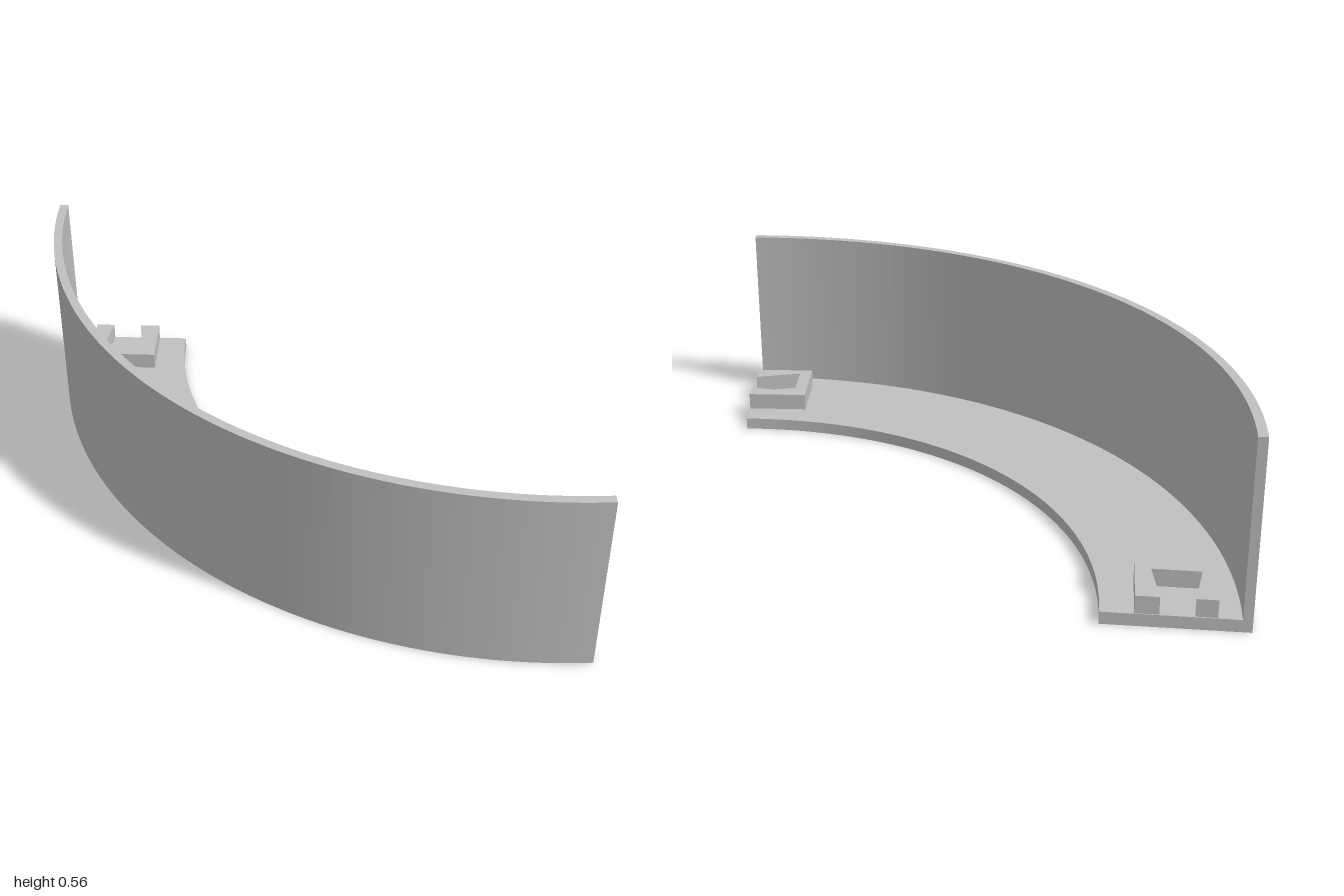
import * as THREE from 'three';

const CENTRE = [0.5, -0.91]; // arc centre in x, z
const START = THREE.MathUtils.degToRad(71.2);
const END = THREE.MathUtils.degToRad(166.1);
const R_OUTER = 1.54, R_WALL = 1.513, R_INNER = 1.137;
const FLOOR = 0.037, CLIP_TOP = 0.09, HEIGHT = 0.563;

// Plan outline in x, z raised from y0 to y1
function slab(name, shape, y0, y1, material) {
  const geometry = new THREE.ExtrudeGeometry(shape, { depth: y1 - y0, bevelEnabled: false, curveSegments: 48 });
  geometry.rotateX(-Math.PI / 2);
  geometry.translate(0, y0, 0);
  const mesh = new THREE.Mesh(geometry, material);
  mesh.name = name;
  return mesh;
}

// Ring segment between two radii
function arcShape(inner, outer) {
  const shape = new THREE.Shape();
  shape.absarc(CENTRE[0], -CENTRE[1], outer, -END, -START, false);
  shape.absarc(CENTRE[0], -CENTRE[1], inner, -START, -END, true);
  shape.closePath();
  return shape;
}

const outline = (points) => new THREE.Shape(points.map(([x, z]) => new THREE.Vector2(x, -z)));

export function createModel() {
  const group = new THREE.Group();
  group.name = 'curvedChannel';
  const grey = new THREE.MeshStandardMaterial({ color: 0xc0c0c0 });
  grey.name = 'light grey';

  // Curved floor and the tall wall along its outer edge
  group.add(slab('floor', arcShape(R_INNER, R_WALL), 0, FLOOR, grey));
  group.add(slab('outerWall', arcShape(R_WALL, R_OUTER), 0, HEIGHT, grey));

  // U-shaped connector sockets with tapered pockets open at each end
  group.add(slab('leftSocket', outline([
    [0.896, 0.249], [0.714, 0.307], [0.789, 0.521], [0.971, 0.46],
    [0.947, 0.398], [0.816, 0.479], [0.762, 0.324], [0.914, 0.307],
  ]), FLOOR, CLIP_TOP, grey));
  group.add(slab('rightSocket', outline([
    [-0.906, -0.559], [-0.864, -0.377], [-0.644, -0.43], [-0.693, -0.612],
    [-0.757, -0.596], [-0.698, -0.457], [-0.832, -0.425], [-0.848, -0.573],
  ]), FLOOR, CLIP_TOP, grey));

  return group;
}
